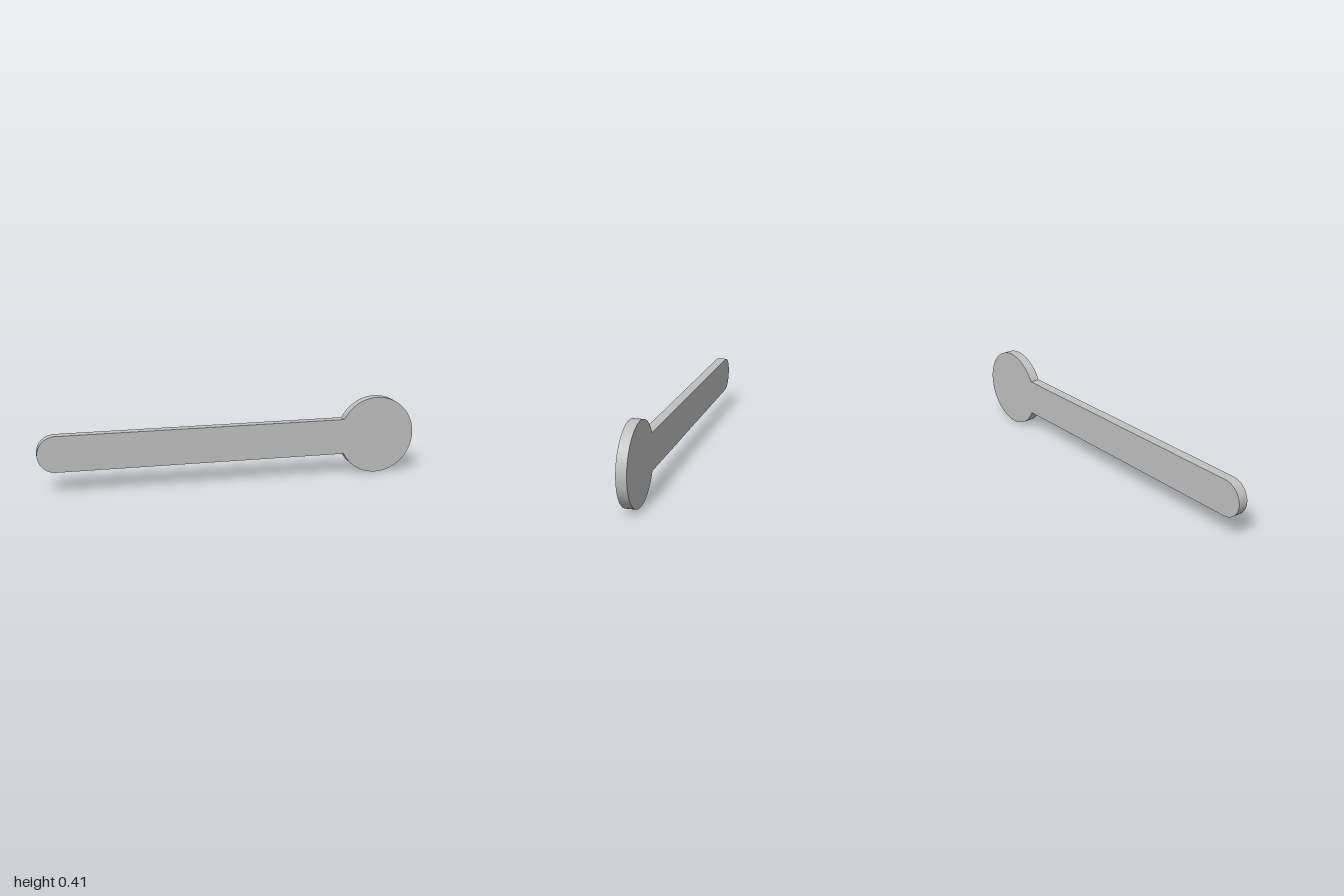
import * as THREE from 'three';
import { toCreasedNormals } from 'three/addons/utils/BufferGeometryUtils.js';

const DEPTH = 0.052;
const DISC_RADIUS = 0.205;
const BAR_HALF = 0.094;
const DISC_X = 1 - DISC_RADIUS;
const CAP_X = -1 + BAR_HALF;

export function createModel() {
  const group = new THREE.Group();
  group.name = 'paddle';

  const grey = new THREE.MeshStandardMaterial({ color: 0xc0c0c0 });
  grey.name = 'light grey';

  // One outline: round disc at the +x end, straight handle, rounded handle tip
  const notch = Math.PI - Math.asin(BAR_HALF / DISC_RADIUS);
  const outline = new THREE.Shape();
  outline.absarc(DISC_X, 0, DISC_RADIUS, -notch, notch, false);
  outline.absarc(CAP_X, 0, BAR_HALF, Math.PI / 2, Math.PI * 1.5, false);
  outline.closePath();

  // Flat plate with smooth curved rims and sharp edges
  const plate = new THREE.ExtrudeGeometry(outline, {
    depth: DEPTH,
    bevelEnabled: false,
    curveSegments: 64,
  });
  plate.translate(0, DISC_RADIUS, -DEPTH / 2);

  const body = new THREE.Mesh(toCreasedNormals(plate, 0.5), grey);
  body.name = 'discAndHandle';
  group.add(body);
  return group;
}
